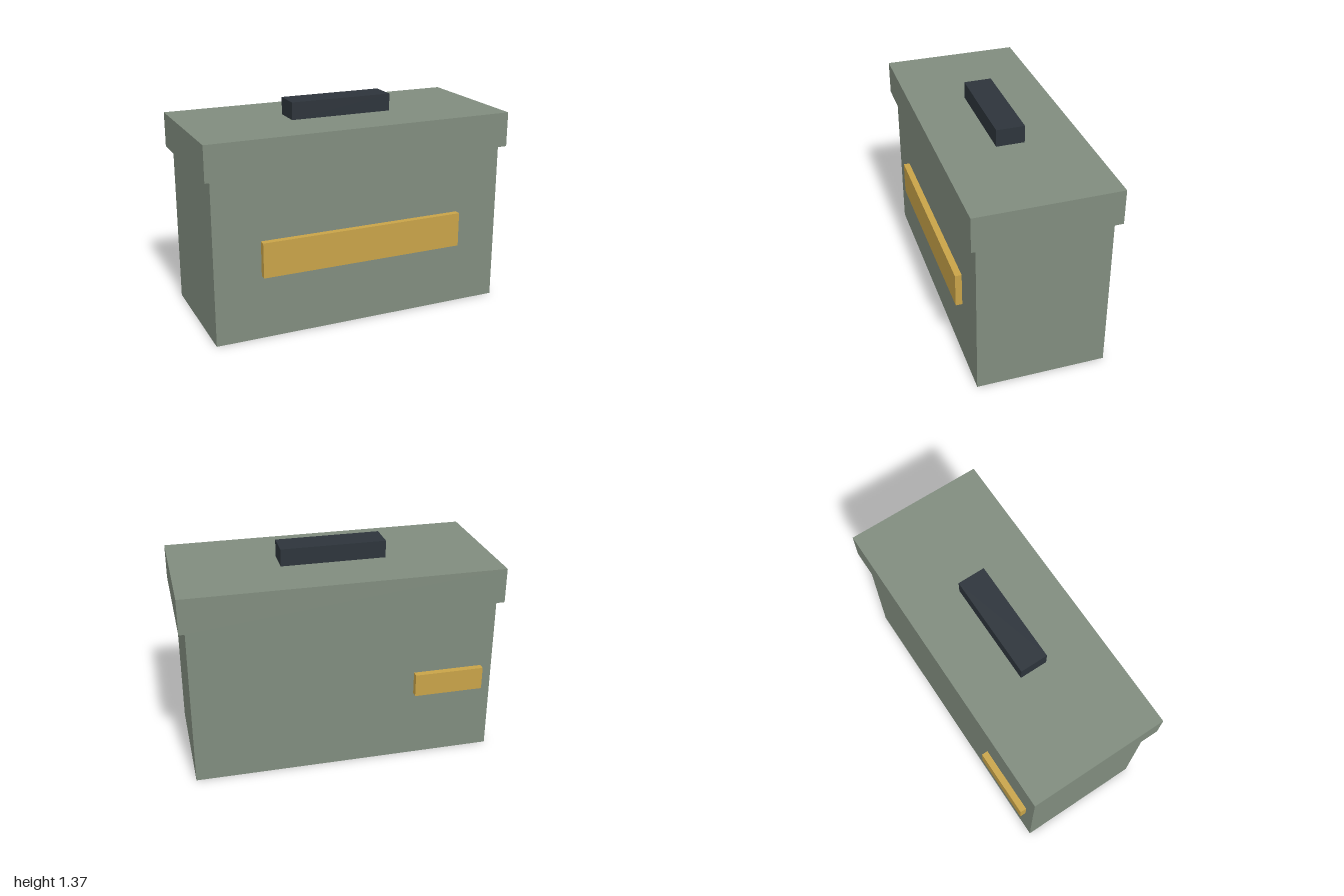
import * as THREE from 'three';

const flat = (name, color) => {
  const m = new THREE.MeshStandardMaterial({ color });
  m.name = name;
  return m;
};

export function createModel() {
  const green = flat('sage green', 0x808c7e);
  const gold = flat('gold', 0xc8a348);
  const dark = flat('dark slate', 0x2d343b);

  const model = new THREE.Group();
  model.name = 'liddedBox';

  // Adds a box from its lower and upper corners
  const addBox = (name, material, min, max) => {
    const size = max.map((v, i) => v - min[i]);
    const mesh = new THREE.Mesh(new THREE.BoxGeometry(...size), material);
    mesh.position.set(...max.map((v, i) => (v + min[i]) / 2));
    mesh.name = name;
    model.add(mesh);
  };

  // Body and overhanging lid
  addBox('body', green, [-0.962, 0, -0.409], [0.962, 1.038, 0.409]);
  addBox('lid', green, [-1, 1.038, -0.445], [1, 1.26, 0.445]);

  // Handle on the lid
  addBox('handle', dark, [-0.333, 1.26, -0.089], [0.333, 1.37, 0.089]);

  // Wide front plate and small off-centre back plate
  addBox('frontPlate', gold, [-0.666, 0.408, 0.4], [0.666, 0.63, 0.45]);
  addBox('backPlate', gold, [-0.89, 0.445, -0.45], [-0.445, 0.593, -0.4]);

  return model;
}
